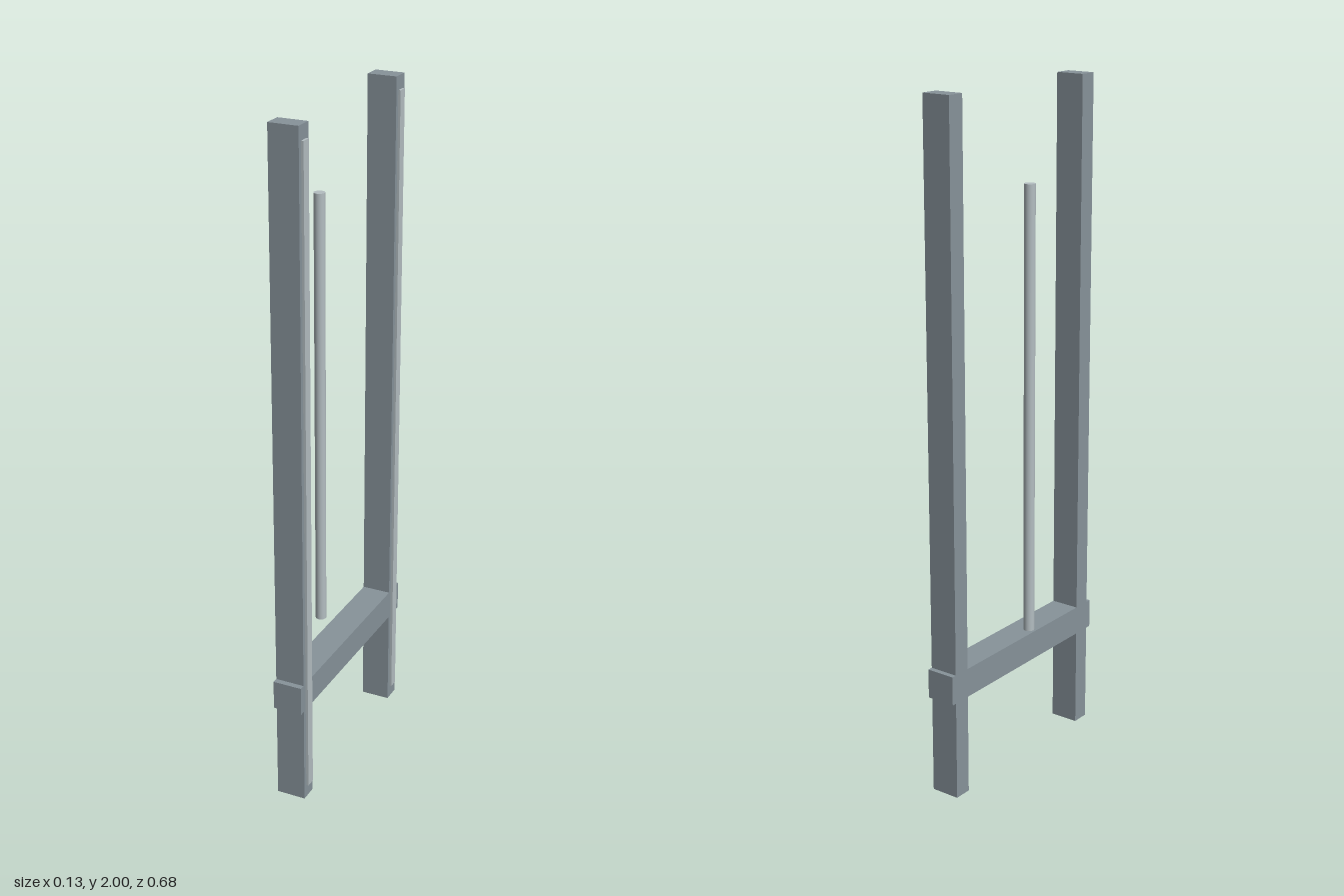
import * as THREE from 'three';

export function createModel() {
  const model = new THREE.Group();
  const frameGrey = new THREE.MeshStandardMaterial({ color: 0x87939a });
  frameGrey.name = 'frame grey';
  const paleMetal = new THREE.MeshStandardMaterial({ color: 0xb3bdc1 });
  paleMetal.name = 'pale metal';

  // Box given by its lower and upper limits on each axis
  function addBox(name, material, [x0, x1], [y0, y1], [z0, z1]) {
    const mesh = new THREE.Mesh(new THREE.BoxGeometry(x1 - x0, y1 - y0, z1 - z0), material);
    mesh.position.set((x0 + x1) / 2, (y0 + y1) / 2, (z0 + z1) / 2);
    mesh.name = name;
    model.add(mesh);
  }

  const depth = [-0.031, 0.056];

  // Two tall posts, each with a thin strip on its outer face
  for (const [side, z] of [['front', 0.296], ['back', -0.298]]) {
    addBox(side + 'Post', frameGrey, depth, [0, 2], [z - 0.027, z + 0.027]);
    addBox(side + 'Strip', paleMetal, [0.056, 0.063], [0.04, 1.96], [z - 0.0145, z + 0.0145]);
  }

  // Crossbar, passing through both posts
  addBox('crossbar', frameGrey, depth, [0.3, 0.387], [-0.34, 0.34]);

  // Upright handle rod
  const rod = new THREE.Mesh(new THREE.CylinderGeometry(0.016, 0.016, 1.316, 32), paleMetal);
  rod.position.set(-0.047, 1.075, 0);
  rod.name = 'handleRod';
  model.add(rod);

  return model;
}
